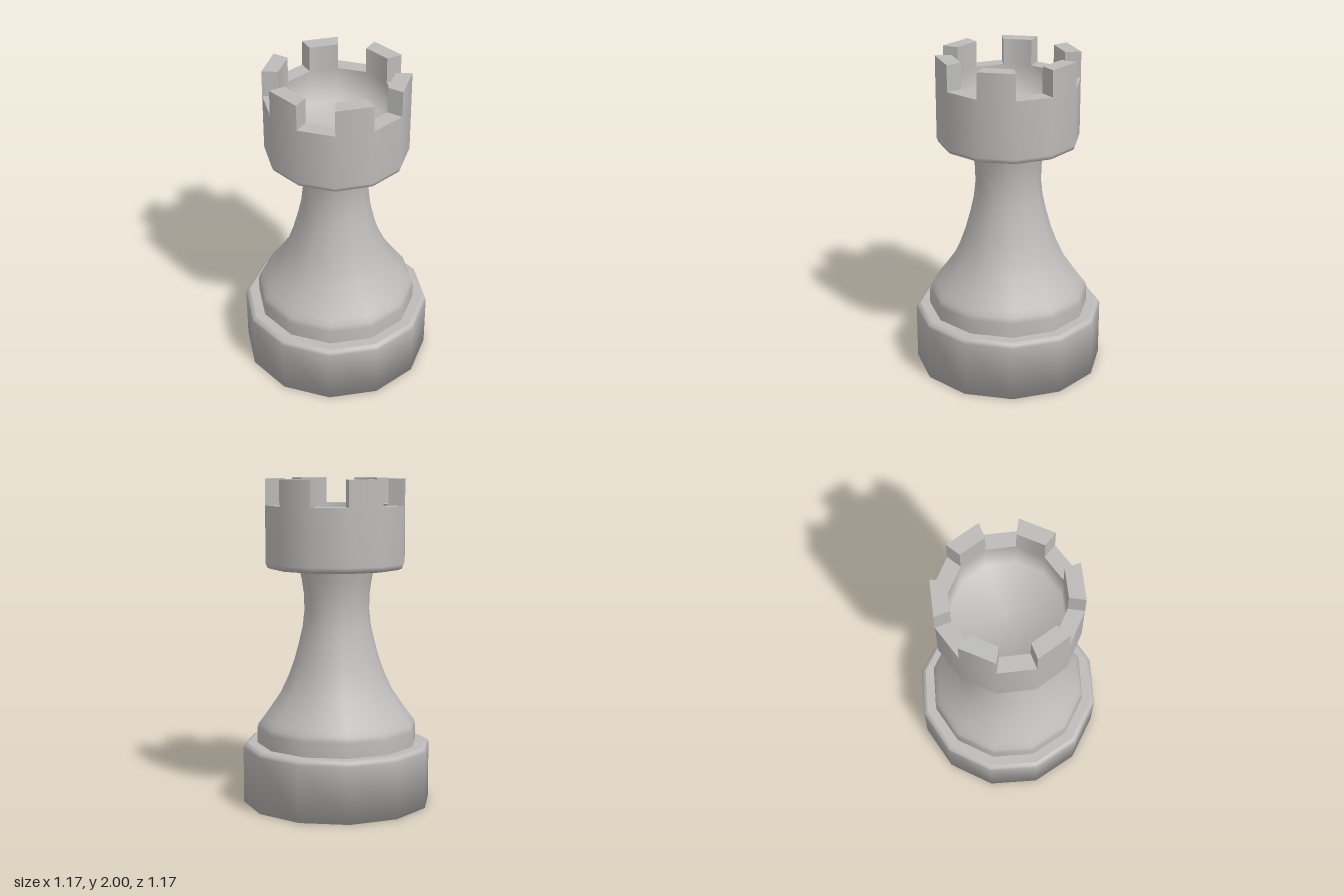
import * as THREE from 'three';
import { mergeGeometries } from 'three/addons/utils/BufferGeometryUtils.js';

const SIDES = 12;
const STEP = (Math.PI * 2) / SIDES;

// Twelve-sided turned shape; a repeated point in the profile makes a crisp edge.
function turned(profile, phiStart = 0, sides = SIDES) {
  const pts = profile.map(([r, y]) => new THREE.Vector2(r, y));
  return new THREE.LatheGeometry(pts, sides, phiStart, STEP * sides);
}

export function createModel() {
  const stone = new THREE.MeshStandardMaterial({ color: 0xbcbbb9 });
  stone.name = 'grey stone';
  const model = new THREE.Group();
  model.name = 'rook';

  const add = (name, geometry, parent = model) => {
    const mesh = new THREE.Mesh(geometry, stone);
    mesh.name = name;
    parent.add(mesh);
    return mesh;
  };

  const twist = -0.047; // base and stem are turned slightly against the crown

  // Foot with a bevelled upper rim
  add('base', turned([
    [0, 0], [0.584, 0], [0.584, 0.345], [0.577, 0.364], [0.558, 0.375],
    [0.558, 0.375], [0.45, 0.375],
  ], twist));

  // Collar and concave stem
  add('stem', turned([
    [0.497, 0.37], [0.497, 0.465], [0.488, 0.498], [0.462, 0.53], [0.412, 0.6],
    [0.35, 0.69], [0.302, 0.79], [0.265, 0.89], [0.235, 1.0], [0.212, 1.1],
    [0.201, 1.2], [0.204, 1.3], [0.217, 1.39], [0.236, 1.47],
  ], twist));

  const crown = new THREE.Group();
  crown.name = 'crown';
  crown.position.set(0.006, 0, 0.003);
  model.add(crown);

  // Hollow cup
  const outer = 0.433, inner = 0.336, sill = 1.84, top = 2;
  add('cup', turned([
    [0.15, 1.455], [0.4, 1.455], [0.4, 1.455], [0.423, 1.464], [outer, 1.49],
    [outer, sill], [outer, sill], [inner, sill], [inner, sill],
    [inner, 1.62], [0, 1.6],
  ]), crown);

  // Six battlements, one on every second facet
  const wall = outer - inner, height = top - sill;
  for (let k = 1; k < SIDES; k += 2) {
    const start = k * STEP;
    const shell = turned([
      [outer, sill], [outer, top], [outer, top],
      [inner, top], [inner, top], [inner, sill],
    ], start, 1);
    const ends = [[start, -1], [start + STEP, 1]].map(([phi, side]) => {
      const r = (outer + inner) / 2;
      return new THREE.PlaneGeometry(wall, height)
        .rotateY(phi + side * Math.PI / 2)
        .translate(r * Math.sin(phi), sill + height / 2, r * Math.cos(phi));
    });
    add('battlement', mergeGeometries([shell, ...ends]), crown);
  }

  return model;
}
